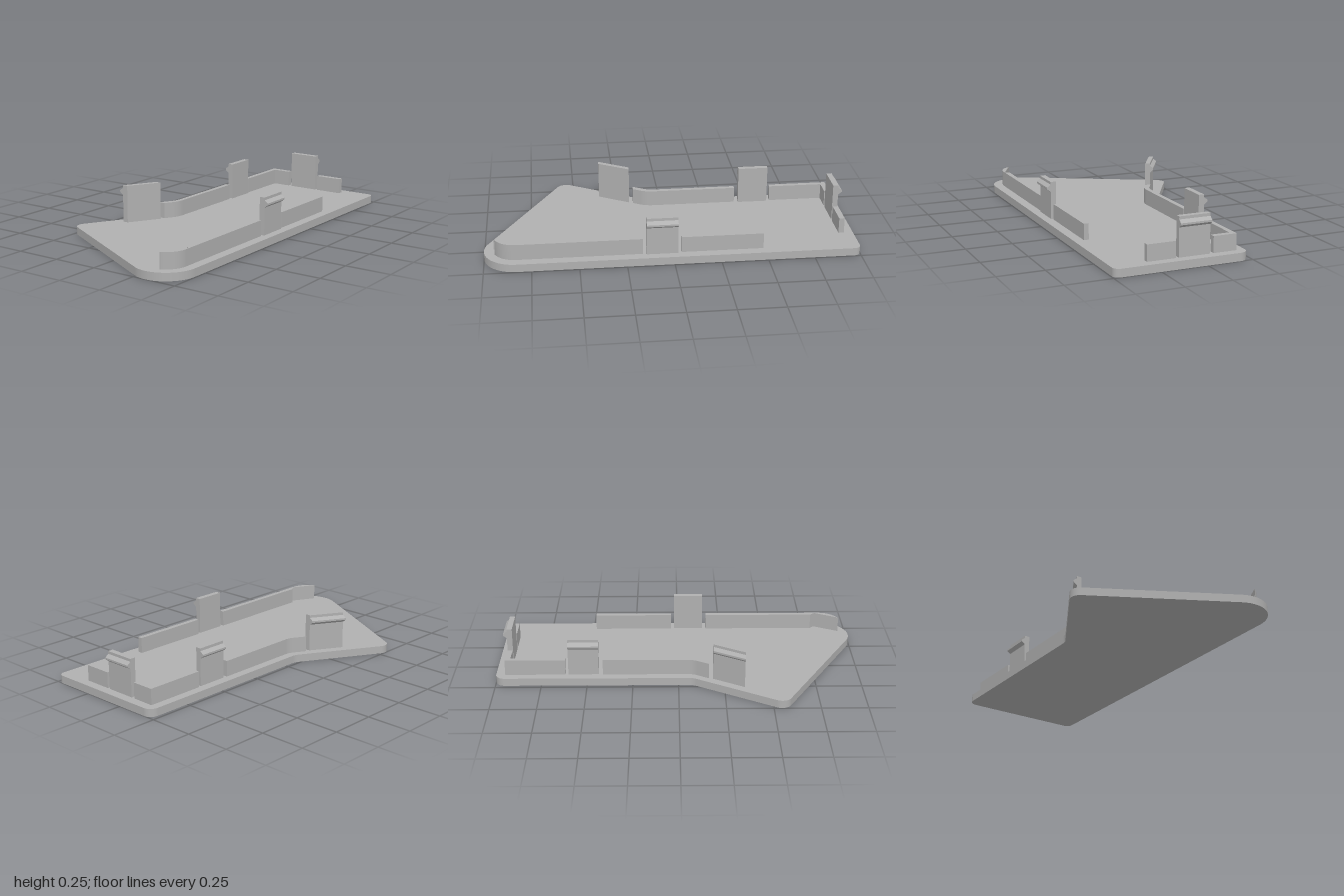
import * as THREE from 'three';

const PLATE_TOP = 0.043, WALL_TOP = 0.13, CLIP_TOP = 0.25;

// Extrude a plan outline (x, z) upward between two heights
function slab(shape, y0, y1) {
  const geo = new THREE.ExtrudeGeometry(shape, { depth: y1 - y0, bevelEnabled: false, curveSegments: 20 });
  geo.rotateX(-Math.PI / 2);
  geo.translate(0, y0, 0);
  return geo;
}

const V = (x, y, z) => new THREE.Vector3(x, y, z);

export function createModel() {
  const group = new THREE.Group();
  const grey = new THREE.MeshStandardMaterial({ color: 0xb0b0b0 });
  grey.name = 'plasticGrey';
  const add = (name, geo) => {
    const mesh = new THREE.Mesh(geo, grey);
    mesh.name = name;
    group.add(mesh);
  };

  // Base plate: arcs at the rounded corners, joined by straight edges (shape y = -z)
  const deg = Math.PI / 180;
  const plate = new THREE.Shape();
  plate.absarc(-0.83, -0.325, 0.17, 270 * deg, 151 * deg, true);
  plate.absarc(-0.544, 0.442, 0.055, 151 * deg, 60 * deg, true);
  plate.lineTo(-0.095, 0.24);
  plate.quadraticCurveTo(-0.078, 0.23, -0.055, 0.23);
  plate.absarc(0.95, 0.18, 0.05, 90 * deg, 0, true);
  plate.absarc(0.965, -0.46, 0.035, 0, -90 * deg, true);
  plate.closePath();
  add('basePlate', slab(plate, 0, PLATE_TOP));

  // Low locating walls
  const wall = (name, points) =>
    add(name, slab(new THREE.Shape(points.map(([x, z]) => new THREE.Vector2(x, -z))), PLATE_TOP, WALL_TOP));
  wall('frontWallRight', [[0.04, 0.415], [0.48, 0.415], [0.48, 0.442], [0.04, 0.442]]);
  wall('sideWall', [[0.92, 0.15], [0.95, 0.15], [0.95, 0.305], [0.92, 0.305]]);
  wall('cornerWall', [[0.62, -0.183], [0.95, -0.183], [0.95, -0.055], [0.92, -0.055], [0.92, -0.157], [0.62, -0.157]]);

  // Back wall bending along the slanted edge
  const back = new THREE.Shape();
  back.moveTo(0.415, 0.183);
  back.lineTo(-0.05, 0.183);
  back.quadraticCurveTo(-0.08, 0.183, -0.105, 0.199);
  back.lineTo(-0.165, 0.234);
  back.lineTo(-0.165, 0.2);
  back.lineTo(-0.12, 0.173);
  back.quadraticCurveTo(-0.09, 0.157, -0.05, 0.157);
  back.lineTo(0.415, 0.157);
  add('backWall', slab(back, PLATE_TOP, WALL_TOP));

  // Front wall with a curved, tapering end
  const front = new THREE.Shape();
  front.moveTo(-0.165, -0.415);
  front.lineTo(-0.785, -0.415);
  front.lineTo(-0.81, -0.438);
  front.lineTo(-0.945, -0.37);
  front.absarc(-0.83, -0.322, 0.12, 204 * deg, 270 * deg, false);
  front.lineTo(-0.165, -0.442);
  add('frontWallLeft', slab(front, PLATE_TOP, WALL_TOP));

  // Snap clips: one barbed profile swept along each clip's width
  const profile = new THREE.Shape([
    [-0.03, PLATE_TOP], [0, PLATE_TOP], [0, 0.195], [0.02, 0.21], [0.02, 0.22], [0, 0.235], [0, CLIP_TOP], [-0.03, CLIP_TOP],
  ].map(([x, y]) => new THREE.Vector2(x, y)));
  const clip = (name, origin, out, along) => {
    const geo = new THREE.ExtrudeGeometry(profile, { depth: 1, bevelEnabled: false });
    geo.applyMatrix4(new THREE.Matrix4().makeBasis(out, V(0, 1, 0), along).setPosition(origin));
    add(name, geo);
  };
  clip('frontClip', V(0.022, 0, 0.45), V(0, 0, 1), V(-0.167, 0, 0));
  clip('backClip', V(0.437, 0, -0.18), V(0, 0, -1), V(0.167, 0, 0));
  clip('sideClip', V(0.95, 0, -0.035), V(1, 0, 0), V(0, 0, 0.17));
  clip('slantedClip', V(-0.355, 0, -0.34), V(0, 0, -1), V(0.168, 0, 0.1));

  return group;
}
